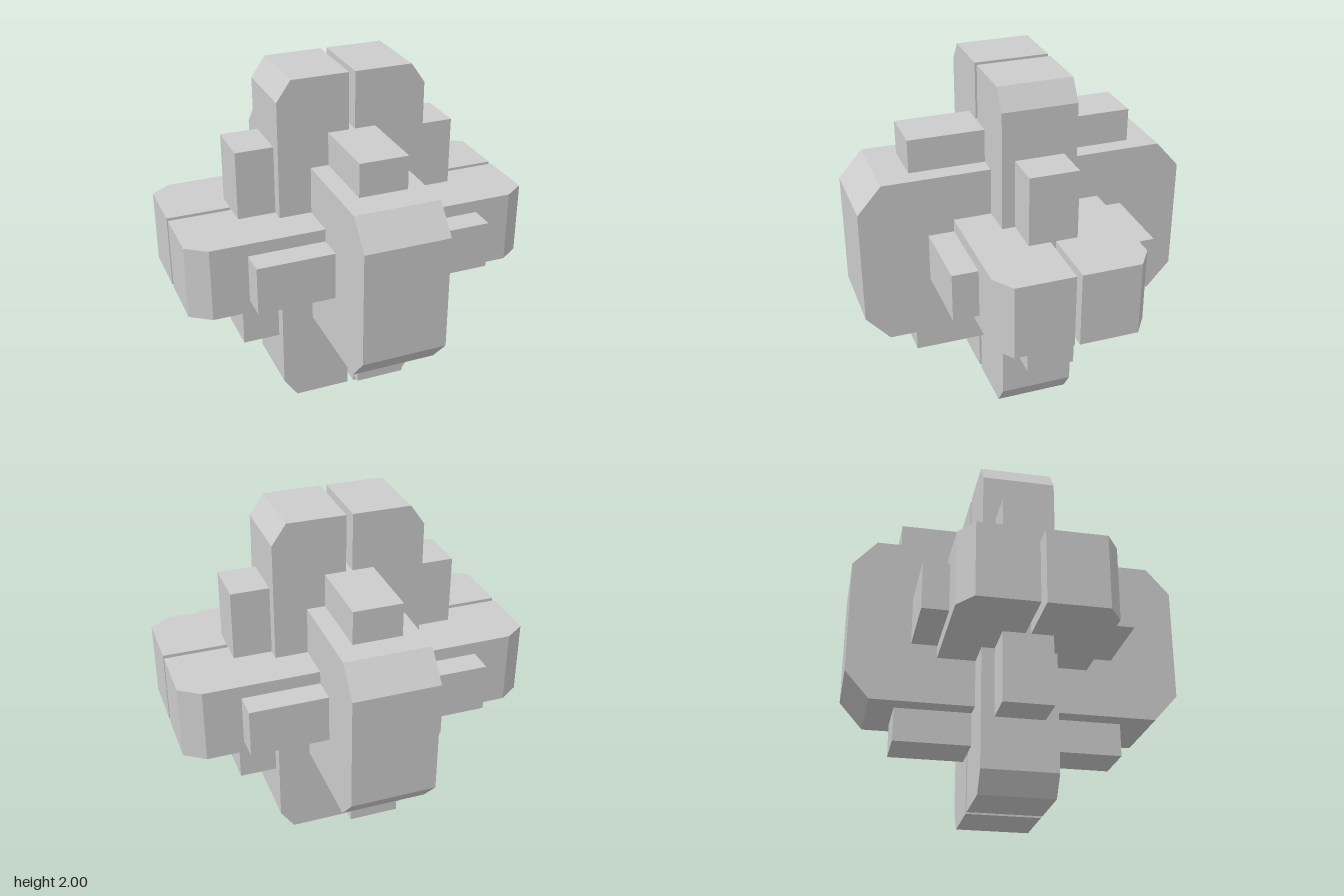
import * as THREE from 'three';

const material = new THREE.MeshStandardMaterial({ color: 0xcccccc, flatShading: true });

// Extrudes a polygon by depth, centred on its own z.
function prism(points, depth) {
  const shape = new THREE.Shape(points.map(([x, y]) => new THREE.Vector2(x, y)));
  return new THREE.ExtrudeGeometry(shape, { depth, bevelEnabled: false }).translate(0, 0, -depth / 2);
}

// Half-bar profile along u: flat at inner v, chamfered at outer v (u = length direction).
function barProfile(inner, outer, side) {
  return [
    [-1, inner], [1, inner], [1, outer - 0.08], [0.885, outer],
    [-0.885, outer], [-1, outer - 0.08],
  ].map(([u, v]) => [u, v * side]);
}

export function createModel() {
  const group = new THREE.Group();
  const midZ = -0.015;
  const midY = 1.005;

  const add = (name, geometry, x, y, z) => {
    const mesh = new THREE.Mesh(geometry, material);
    mesh.name = name;
    mesh.position.set(x, y, z);
    group.add(mesh);
  };

  for (const side of [1, -1]) {
    // Upright bars, side by side in x
    const upright = barProfile(0.018, 0.425, side).map(([u, v]) => [v, u]);
    add(side > 0 ? 'leftUprightBar' : 'rightUprightBar', prism(upright, 0.42), 0, 1, midZ);

    // Cross bars along x, one behind the other
    const cross = prism(barProfile(0.015, 0.425, -side), 0.42).rotateX(-Math.PI / 2);
    add(side > 0 ? 'frontCrossBar' : 'backCrossBar', cross, 0, midY, midZ);
  }

  // Solid chamfered block running front to back
  const block = prism([
    [-0.935, -0.327], [-0.8, -0.48], [0.8, -0.48], [0.935, -0.327],
    [0.935, 0.327], [0.8, 0.48], [-0.8, 0.48], [-0.935, 0.327],
  ], 0.48).rotateY(Math.PI / 2);
  add('centreBlock', block, 0, midY, 0);

  // Slim inner plates whose corners show as pegs between the bars
  add('lengthwisePlate', new THREE.BoxGeometry(0.275, 1.34, 1.28), 0, midY, midZ);
  add('levelPlate', new THREE.BoxGeometry(1.354, 0.275, 1.14), 0, midY, midZ);
  add('crosswisePlate', new THREE.BoxGeometry(1.28, 1.206, 0.275), 0, midY, midZ);

  return group;
}
